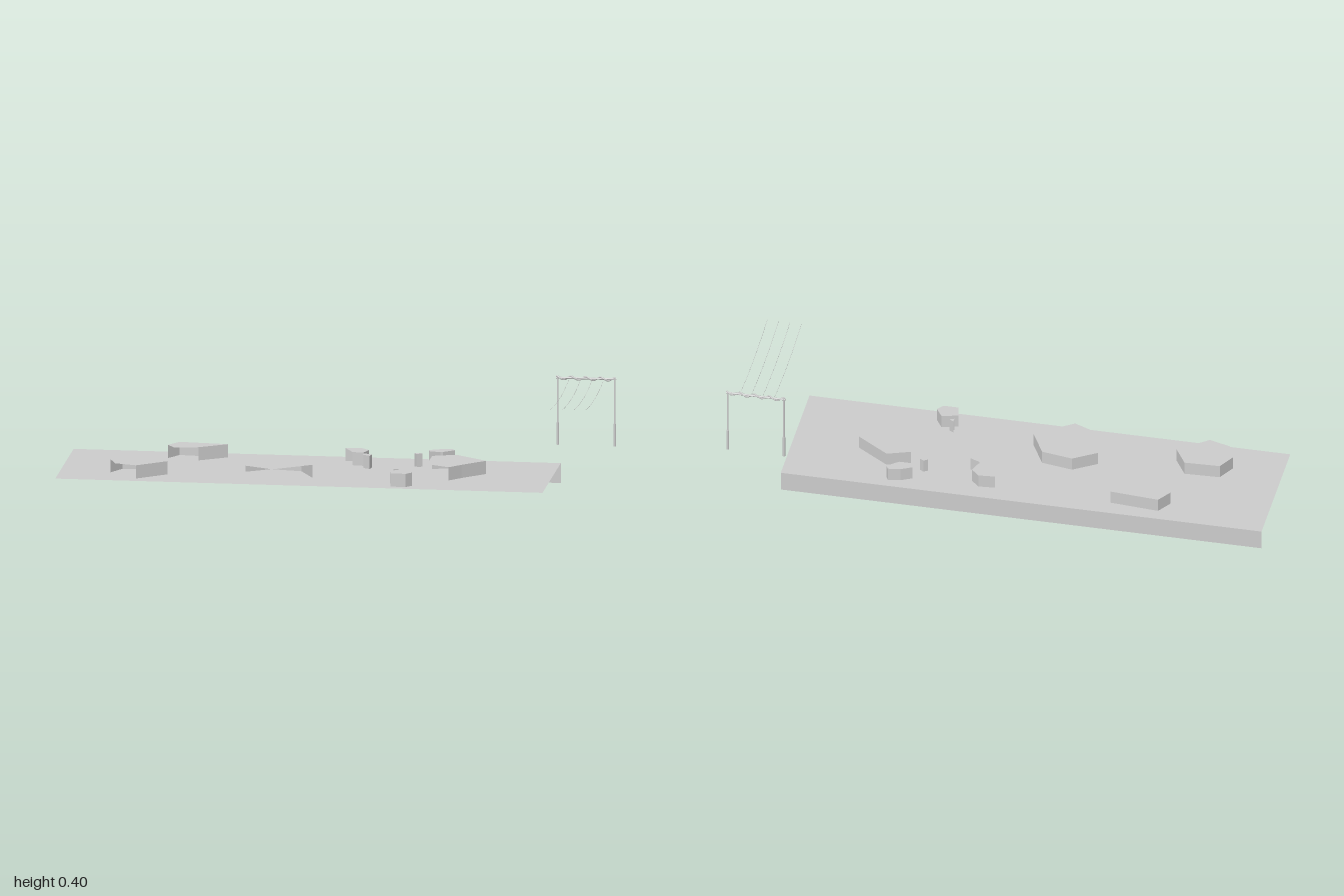
import * as THREE from 'three';

const material = new THREE.MeshStandardMaterial({ color: 0xcccccc, flatShading: true, side: THREE.DoubleSide });
const smooth = new THREE.MeshStandardMaterial({ color: 0xcccccc });
const V = (x, y, z) => new THREE.Vector3(x, y, z);

function add(parent, name, geometry, mat = material) {
  const mesh = new THREE.Mesh(geometry, mat);
  mesh.name = name;
  parent.add(mesh);
  return mesh;
}

// Flat top over an outline of [x, z] points, with walls along its first wallCount edges
function slab(parent, name, points, wallCount, bottom, top) {
  const group = new THREE.Group();
  group.name = name;
  const shape = new THREE.Shape(points.map(([x, z]) => new THREE.Vector2(x, -z)));
  add(group, name + 'Top', new THREE.ShapeGeometry(shape).rotateX(-Math.PI / 2).translate(0, top, 0));
  const corners = [];
  for (let i = 0; i < wallCount; i++) {
    const [ax, az] = points[i], [bx, bz] = points[(i + 1) % points.length];
    corners.push(bx, bottom, bz, ax, bottom, az, ax, top, az, bx, bottom, bz, ax, top, az, bx, top, bz);
  }
  const walls = new THREE.BufferGeometry();
  walls.setAttribute('position', new THREE.Float32BufferAttribute(corners, 3));
  walls.computeVertexNormals();
  add(group, name + 'Walls', walls);
  parent.add(group);
}

// Outlines run from the left corner round the back to the open front; walls = closed edges
const islands = [
  { walls: 3, points: [[-0.64, -0.145], [-0.605, -0.2], [-0.425, -0.185], [-0.525, -0.12], [-0.61, -0.1]] },
  { walls: 4, points: [[-0.815, 0.12], [-0.78, 0.055], [-0.65, 0.05], [-0.605, 0.125], [-0.71, 0.21], [-0.79, 0.185]] },
  { walls: 3, points: [[-0.33, 0.045], [-0.245, -0.01], [-0.13, 0.01], [-0.075, 0.115], [-0.21, 0.21], [-0.33, 0.155]] },
  { walls: 4, points: [[0.005, -0.18], [0.065, -0.185], [0.095, -0.155], [0.08, -0.11], [0.04, -0.115]] },
  { walls: 3, points: [[0.08, -0.1], [0.115, -0.085], [0.11, -0.06], [0.085, -0.075]] },
  { walls: 3, points: [[0.265, -0.125], [0.28, -0.135], [0.295, -0.125], [0.275, -0.115]] },
  { walls: 4, points: [[0.31, -0.185], [0.35, -0.205], [0.395, -0.212], [0.405, -0.195], [0.365, -0.16], [0.32, -0.16]] },
  { walls: 4, points: [[0.335, -0.09], [0.42, -0.12], [0.54, -0.035], [0.46, 0.045], [0.42, 0.09], [0.335, 0.05]] },
  { walls: 4, points: [[0.215, 0.17], [0.275, 0.155], [0.3, 0.195], [0.28, 0.22], [0.225, 0.22]] },
  { walls: 2, points: [[0.225, 0.13], [0.242, 0.14], [0.225, 0.148]] },
];

export function createModel() {
  const model = new THREE.Group();
  model.name = 'plateauWithGantry';

  // Ground sheet with one wall along the back
  slab(model, 'ground', [[-1, -0.25], [0.785, -0.25], [0.785, 0.25], [-1, 0.25]], 1, 0, 0.074);

  // Raised islands, open towards the front
  islands.forEach(({ points, walls }, i) => slab(model, 'island' + (i + 1), points, walls, 0.07, 0.123));

  // Gantry: two stepped posts joined by a crossbar
  const gantry = new THREE.Group();
  gantry.name = 'gantry';
  model.add(gantry);
  const z = -0.241, left = 0.775, right = 0.984, barY = 0.394;
  for (const x of [left, right]) {
    add(gantry, 'postSleeve', new THREE.CylinderGeometry(0.005, 0.005, 0.083, 12).translate(x, 0.1865, z), smooth);
    add(gantry, 'post', new THREE.CylinderGeometry(0.0035, 0.0035, 0.175, 12).translate(x, 0.3125, z), smooth);
  }
  add(gantry, 'crossbar', new THREE.CylinderGeometry(0.0035, 0.0035, 0.222, 12)
    .rotateZ(Math.PI / 2).translate((left + right) / 2, barY, z), smooth);

  // Rope wound round the crossbar
  const coil = [];
  for (let i = 0; i <= 64; i++) {
    const t = i / 64, a = t * Math.PI * 8;
    coil.push(V(0.771 + t * 0.217, barY + 0.006 * Math.cos(a), z + 0.006 * Math.sin(a)));
  }
  add(gantry, 'rope', new THREE.TubeGeometry(new THREE.CatmullRomCurve3(coil), 128, 0.003, 8), smooth);

  // Thin sagging wires running forward from the crossbar
  for (const x of [0.815, 0.858, 0.9, 0.942]) {
    const sag = new THREE.QuadraticBezierCurve3(V(x, 0.386, z), V(x, 0.356, 0.005), V(x, 0.386, 0.251));
    add(gantry, 'wire', new THREE.TubeGeometry(sag, 16, 0.0006, 5), smooth);
  }
  return model;
}
